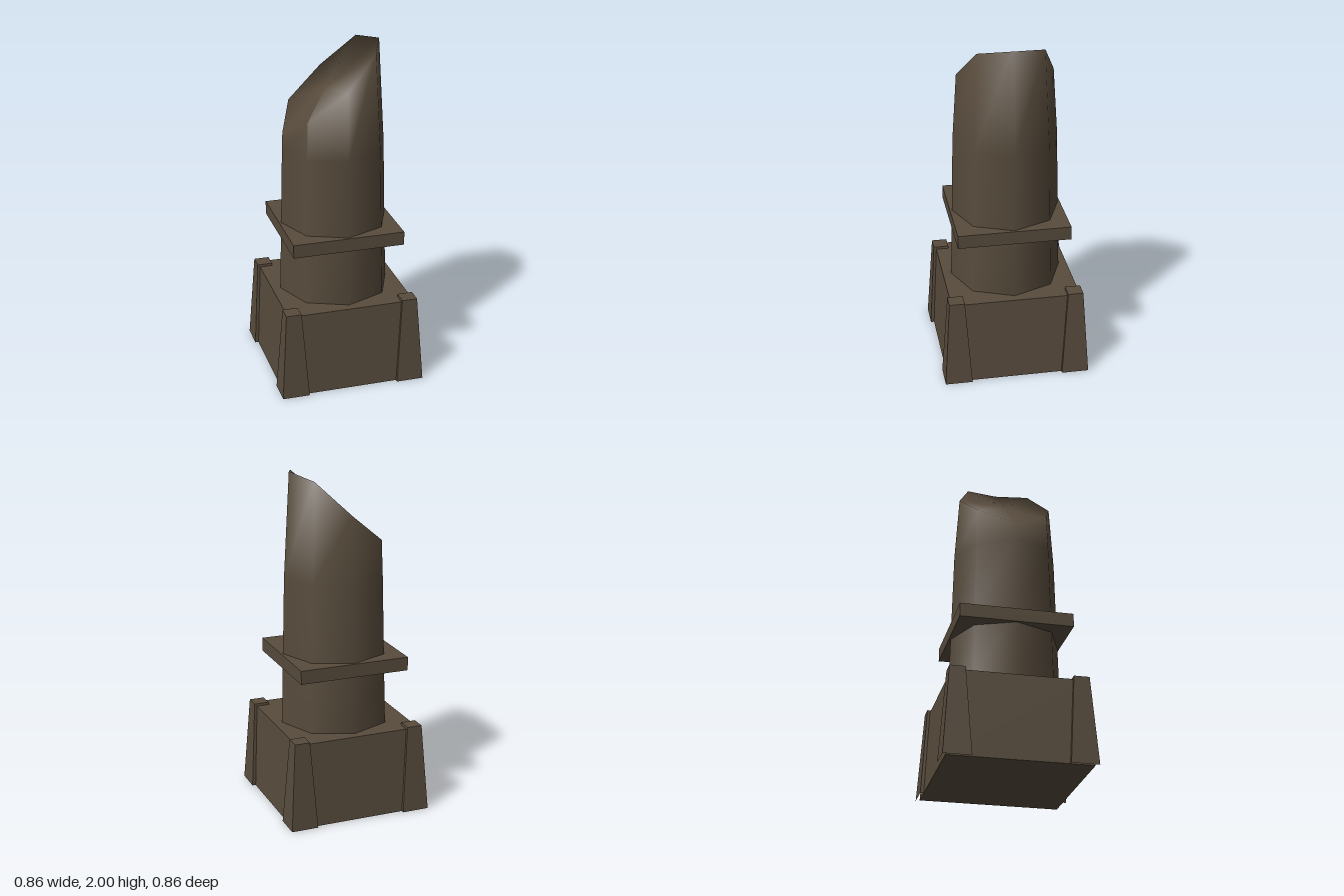
import * as THREE from 'three';

const stone = new THREE.MeshStandardMaterial({ color: 0x574b3c });
stone.name = 'dark stone';

// Square block tapering from half-width b at y0 to half-width t at y1
function taperedBlock(name, b, t, y0, y1, openBottom = false) {
  const geo = new THREE.BoxGeometry(2, 1, 2);
  const p = geo.attributes.position;
  for (let i = 0; i < p.count; i++) {
    const top = p.getY(i) > 0;
    const s = top ? t : b;
    p.setXYZ(i, p.getX(i) * s, top ? y1 : y0, p.getZ(i) * s);
  }
  if (openBottom) {
    const idx = Array.from(geo.index.array);
    idx.splice(18, 6); // underside quad
    geo.setIndex(idx);
    geo.clearGroups();
  }
  geo.computeVertexNormals();
  const mesh = new THREE.Mesh(geo, stone);
  mesh.name = name;
  return mesh;
}

// Eight-sided shaft with a slanted broken top, smooth across the rim
function brokenColumn() {
  const N = 8, pos = [], idx = [];
  // rim height and radius by steps away from the tall +x side
  const rimY = [2.0, 1.97, 1.78, 1.61, 1.49];
  const rimR = [0.27, 0.27, 0.28, 0.297, 0.302];
  const rings = [
    () => [0.33, 0.5],
    () => [0.318, 0.93],
    () => [0.306, 1.39],
    (k) => [rimR[k], rimY[k]],
  ];
  for (const ring of rings) {
    for (let i = 0; i < N; i++) {
      const a = (i / N) * Math.PI * 2;
      const [r, y] = ring(Math.min(i, N - i));
      pos.push(r * Math.cos(a), y, r * Math.sin(a));
    }
  }
  const rim = 3 * N, seam = 3;
  const apex = pos.length / 3;
  pos.push(-0.045, 1.74, 0);
  // split rim corner leaves one crease running across the break
  const split = apex + 1;
  pos.push(...pos.slice((rim + seam) * 3, (rim + seam) * 3 + 3));

  for (let r = 0; r < 3; r++) {
    for (let i = 0; i < N; i++) {
      const j = (i + 1) % N;
      const a = r * N + i, b = r * N + j;
      const c = a + N;
      const d = r === 2 && j === seam ? split : b + N;
      idx.push(a, c, b, b, c, d);
    }
  }
  for (let i = 0; i < N; i++) {
    const j = (i + 1) % N;
    idx.push(apex, j === seam ? split : rim + j, rim + i);
  }
  const geo = new THREE.BufferGeometry();
  geo.setAttribute('position', new THREE.Float32BufferAttribute(pos, 3));
  geo.setIndex(idx);
  geo.computeVertexNormals();
  const mesh = new THREE.Mesh(geo, stone);
  mesh.name = 'brokenColumn';
  return mesh;
}

export function createModel() {
  const model = new THREE.Group();
  model.name = 'brokenPillar';

  model.add(taperedBlock('plinth', 0.41, 0.38, 0, 0.505));

  // Corner posts
  for (const sx of [-1, 1]) {
    for (const sz of [-1, 1]) {
      const post = taperedBlock('cornerPost', 0.08, 0.045, 0, 0.52, true);
      post.position.set(sx * 0.35, 0, sz * 0.35);
      model.add(post);
    }
  }

  model.add(brokenColumn());
  model.add(taperedBlock('squareCollar', 0.33, 0.33, 0.85, 0.93));
  return model;
}
